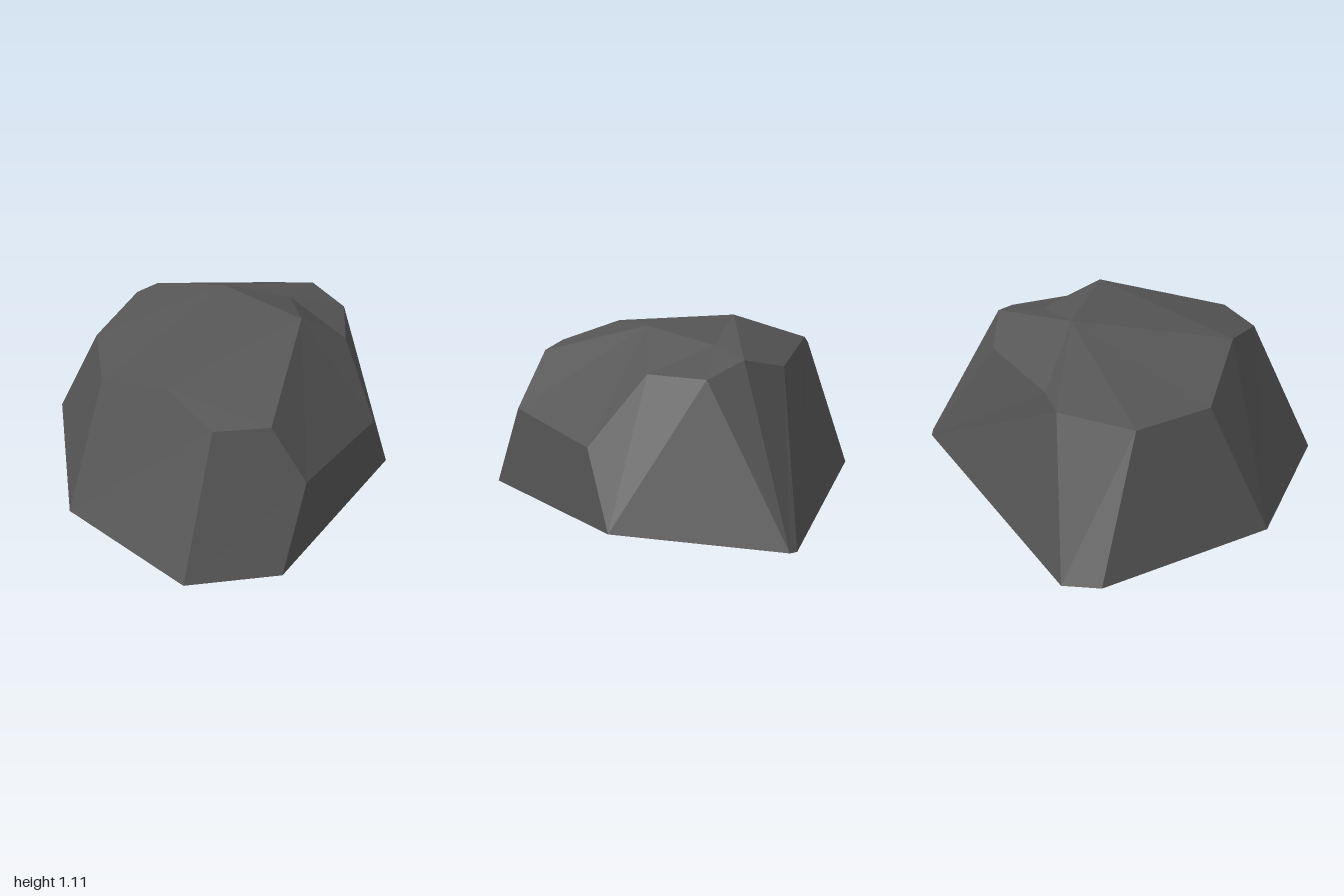
import * as THREE from 'three';

export function createModel() {
  const group = new THREE.Group();
  group.name = 'rock';
  const stone = new THREE.MeshStandardMaterial({ color: 0x555555, flatShading: true, side: THREE.DoubleSide });
  stone.name = 'dark grey stone';

  // Corners of the boulder: the base ring, the shoulder ring and the crown
  const p = {
    b0: [-1, 0.03, 0.27], b1: [-0.39, 0.025, 1], b2: [0.18, 0.035, 1], b3: [1, 0.025, 0.04],
    b4: [1, 0.005, -0.97], b5: [0.95, 0, -1], b6: [-0.86, 0.025, -1], b7: [-1, 0.03, -0.82],
    backLeft: [-0.47, 0.875, -0.8], backMid: [-0.34, 0.93, -0.8], backRight: [0.34, 0.88, -0.8],
    cornerRight: [0.62, 0.96, -0.63], sideBack: [0.79, 0.875, -0.46], sideFront: [0.73, 0.875, -0.11],
    ledgeBack: [0.86, 0.47, 0.2], ledgeFront: [0.34, 0.54, 0.8],
    frontRight: [0.15, 0.865, 0.69], frontLeft: [-0.18, 0.87, 0.69], slopeLeft: [-0.4, 0.97, 0.39],
    leftFront: [-0.75, 0.8, 0.02], leftBack: [-0.75, 0.8, -0.46],
    peakBack: [0.03, 1.11, -0.44], peakRight: [0.44, 1.095, -0.03], dip: [0.44, 1.0, -0.42],
  };

  // Flat facets, each a counter-clockwise loop of corners split into a fan
  function addFacets(name, facets) {
    const positions = [];
    for (const facet of facets) {
      const loop = facet.split(' ').map((key) => p[key]);
      for (let i = 1; i < loop.length - 1; i++) positions.push(...loop[0], ...loop[i], ...loop[i + 1]);
    }
    const geometry = new THREE.BufferGeometry();
    geometry.setAttribute('position', new THREE.Float32BufferAttribute(positions, 3));
    geometry.computeVertexNormals();
    const mesh = new THREE.Mesh(geometry, stone);
    mesh.name = name;
    group.add(mesh);
  }

  // Steep sides, open underneath
  addFacets('rockSides', [
    'b1 b2 ledgeFront frontRight frontLeft',
    'b2 b3 ledgeBack ledgeFront',
    'peakRight frontRight ledgeFront ledgeBack sideFront',
    'b3 b4 sideBack sideFront ledgeBack',
    'b4 b5 backRight cornerRight sideBack',
    'b5 b6 backLeft backMid backRight',
    'b6 b7 leftBack backLeft',
    'b7 b0 leftFront leftBack',
    'b0 b1 frontLeft slopeLeft leftFront',
  ]);

  // Sloping crown with a shallow dip
  addFacets('rockTop', [
    'slopeLeft frontLeft frontRight peakRight',
    'slopeLeft peakRight peakBack',
    'peakBack backMid backLeft leftBack leftFront slopeLeft',
    'peakBack peakRight dip',
    'peakBack dip cornerRight backRight backMid',
    'dip peakRight sideFront sideBack cornerRight',
  ]);

  return group;
}
